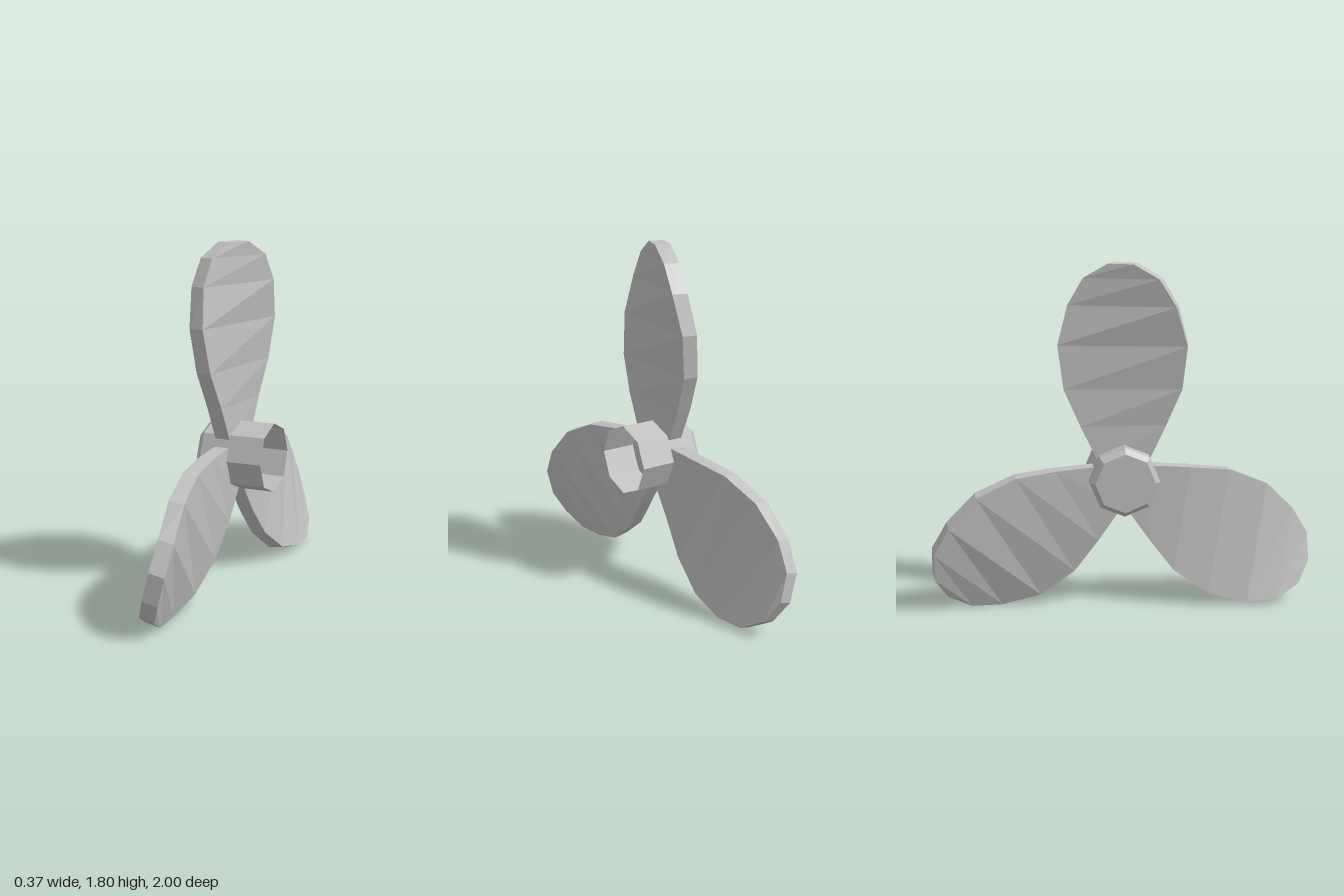
import * as THREE from 'three';

const AXIS_Y = 0.7;      // height of the hub axis
const THICK = 0.08;      // blade thickness
const BLADE_X = -0.046;  // blade plane along the hub axis

// Blade sections: [radius from the axis, half width, twist angle]
const SECTIONS = [
  [0.08, 0.125, 0],
  [0.28, 0.22, 0.03],
  [0.472, 0.303, 0.09],
  [0.695, 0.331, 0.165],
  [0.897, 0.279, 0.265],
  [1.035, 0.197, 0.325],
  [1.108, 0.068, 0.39],
];

// Twisted slab swept through the sections, rising along +y from the axis
function bladeGeometry() {
  const positions = [];
  const index = [];
  for (const [r, half, twist] of SECTIONS) {
    const c = Math.cos(twist), s = Math.sin(twist);
    for (const [n, w] of [[1, 1], [1, -1], [-1, -1], [-1, 1]]) {
      const t = n * THICK / 2, h = w * half;
      positions.push(BLADE_X + t * c - h * s, r, t * s + h * c);
    }
  }
  const quad = (a, b, c, d) => index.push(a, b, c, a, c, d);
  const last = (SECTIONS.length - 1) * 4;
  for (let row = 0; row < last; row += 4) {
    for (let i = 0; i < 4; i++) {
      const j = (i + 1) % 4;
      quad(row + i, row + j, row + 4 + j, row + 4 + i);
    }
  }
  quad(3, 2, 1, 0);                           // root end
  quad(last, last + 1, last + 2, last + 3);   // tip end
  const geometry = new THREE.BufferGeometry();
  geometry.setAttribute('position', new THREE.Float32BufferAttribute(positions, 3));
  geometry.setIndex(index);
  const flat = geometry.toNonIndexed();
  flat.computeVertexNormals();
  return flat;
}

// Thin octagonal cup: closed and chamfered at -x, open at +x
function hubGeometry() {
  const profile = [[0, -0.187], [0.155, -0.187], [0.182, -0.157], [0.182, 0.183]];
  const lathe = new THREE.LatheGeometry(profile.map(([r, y]) => new THREE.Vector2(r, y)), 8);
  lathe.rotateZ(-Math.PI / 2);
  const flat = lathe.toNonIndexed();
  flat.computeVertexNormals();
  return flat;
}

export function createModel() {
  const metal = new THREE.MeshStandardMaterial({
    color: 0xc0c0c0, flatShading: true, side: THREE.DoubleSide,
  });
  metal.name = 'greyMetal';

  const model = new THREE.Group();
  model.name = 'propeller';

  const hub = new THREE.Mesh(hubGeometry(), metal);
  hub.name = 'hub';
  hub.position.y = AXIS_Y;
  model.add(hub);

  // Three blades evenly spaced around the hub
  const geometry = bladeGeometry();
  ['topBlade', 'frontBlade', 'rearBlade'].forEach((name, i) => {
    const blade = new THREE.Mesh(geometry, metal);
    blade.name = name;
    blade.position.y = AXIS_Y;
    blade.rotation.x = i * Math.PI * 2 / 3;
    model.add(blade);
  });
  return model;
}
